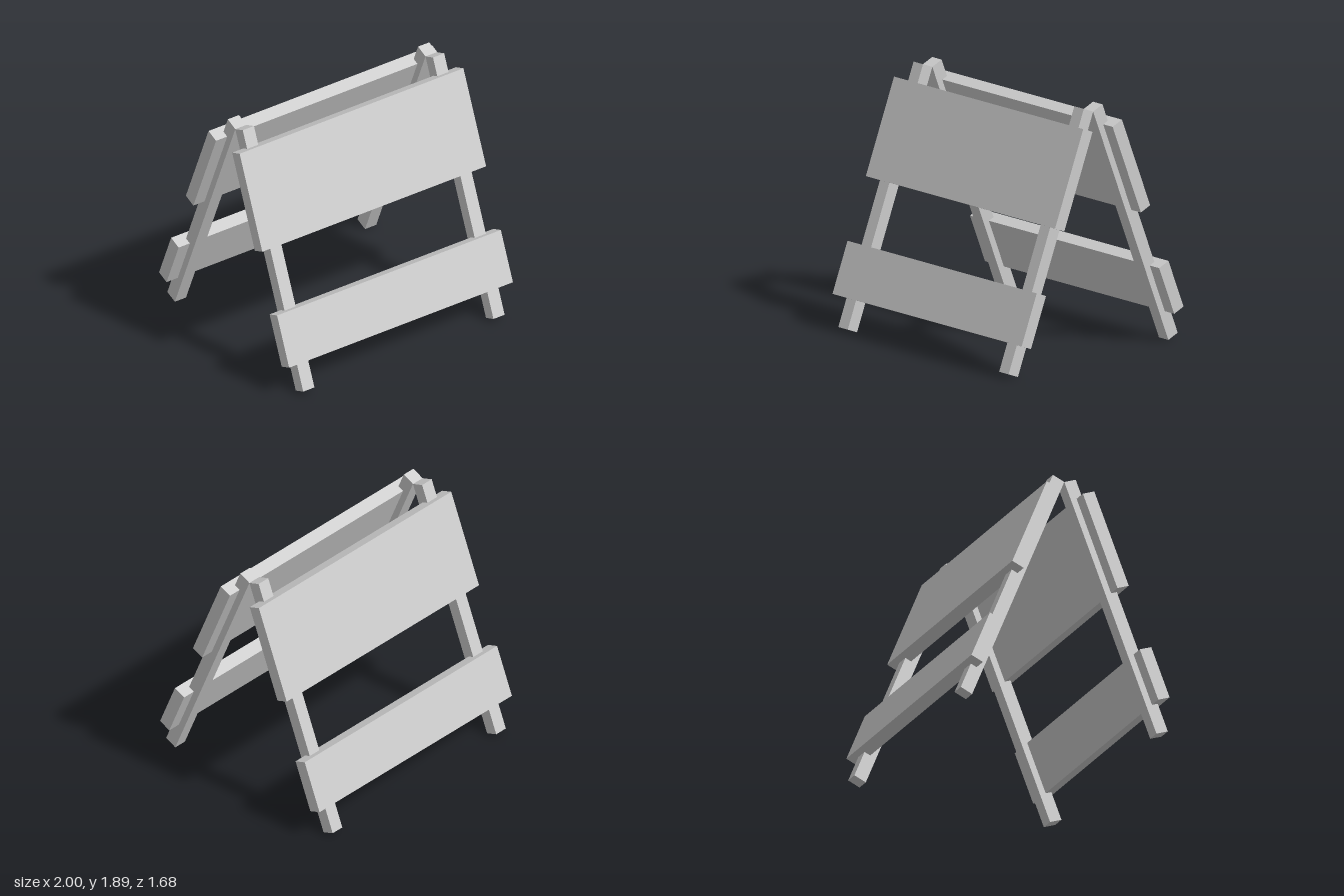
import * as THREE from 'three';

const TILT = THREE.MathUtils.degToRad(22); // lean of each frame
const LEG_LENGTH = 2;
const THICKNESS = 0.1;

export function createModel() {
  const model = new THREE.Group();
  model.name = 'foldingBarricade';
  const material = new THREE.MeshStandardMaterial({ color: 0xcccccc, flatShading: true });

  // Box hung from the hinge line: "top" is the distance down the frame, "inner" its rear face
  function plank(name, width, length, x, top, inner) {
    const mesh = new THREE.Mesh(new THREE.BoxGeometry(width, length, THICKNESS), material);
    mesh.name = name;
    mesh.position.set(x, -top - length / 2, inner + THICKNESS / 2);
    return mesh;
  }

  // One leaning frame: two legs with two boards half let into them
  function frame(name) {
    const leaf = new THREE.Group();
    leaf.name = name;
    leaf.add(
      plank('leftLeg', 0.1, LEG_LENGTH, 0.85, 0, 0),
      plank('rightLeg', 0.1, LEG_LENGTH, -0.85, 0, 0),
      plank('upperBoard', 2, 0.75, 0, 0.143, 0.05),
      plank('lowerBoard', 2, 0.4, 0, 1.38, 0.05)
    );
    leaf.position.y = LEG_LENGTH * Math.cos(TILT);
    leaf.rotation.order = 'YXZ';
    leaf.rotation.x = -TILT;
    return leaf;
  }

  // Front and back frames meet along the top
  const front = frame('frontFrame');
  const back = frame('backFrame');
  back.rotation.y = Math.PI;
  model.add(front, back);
  return model;
}
